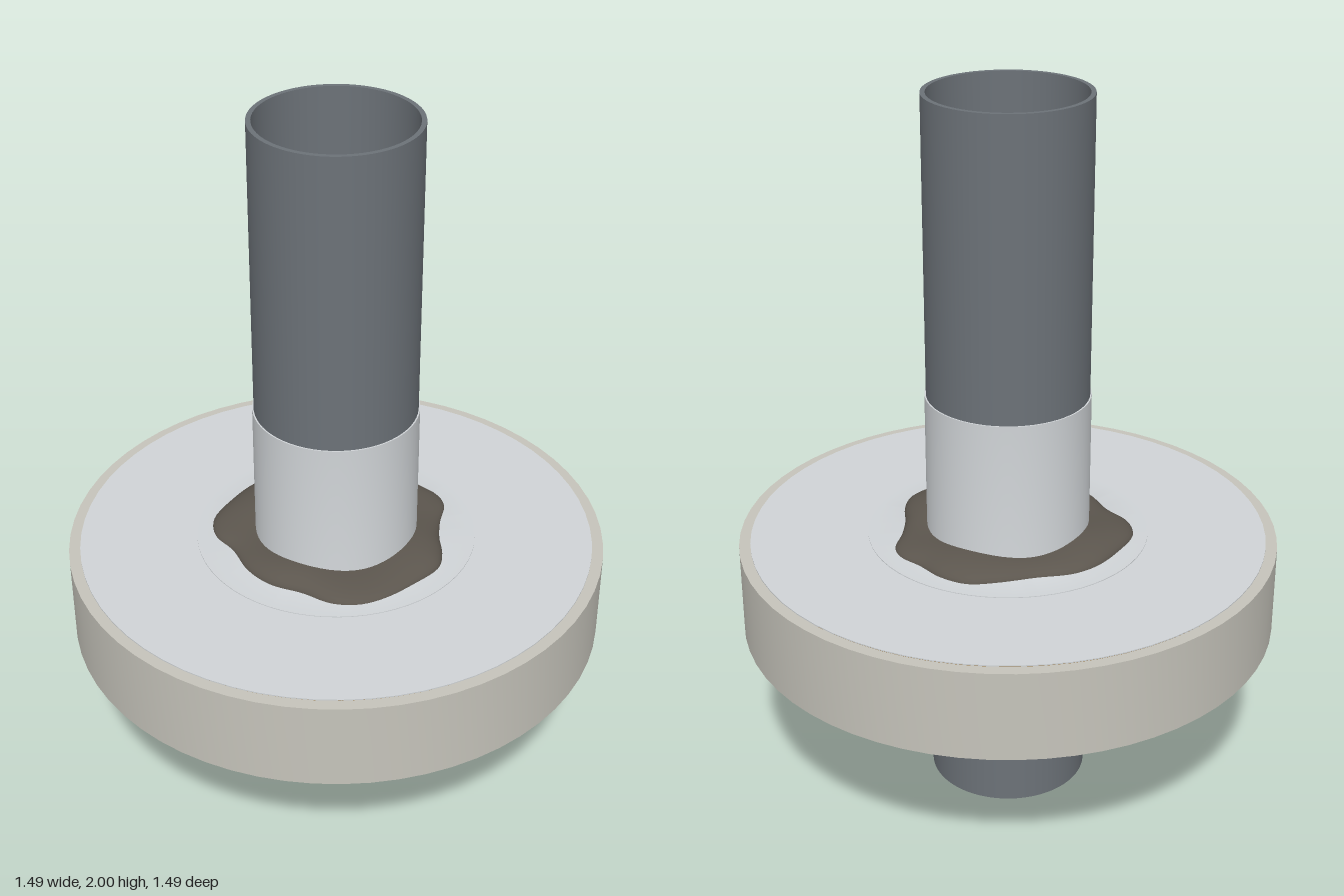
import * as THREE from 'three';
import { toCreasedNormals } from 'three/addons/utils/BufferGeometryUtils.js';

const SEGMENTS = 64;
const material = (color) => new THREE.MeshStandardMaterial({ color });

// Revolve a closed [radius, height] section; list it outer bottom, outer top, inner top, inner bottom
function revolve(name, section, mat) {
  const points = [...section, section[0]].map(([r, y]) => new THREE.Vector2(r, y));
  const geometry = toCreasedNormals(new THREE.LatheGeometry(points, SEGMENTS), 0.6);
  const mesh = new THREE.Mesh(geometry, mat);
  mesh.name = name;
  return mesh;
}

const ring = (name, inner, outer, y0, y1, mat) =>
  revolve(name, [[outer, y0], [outer, y1], [inner, y1], [inner, y0]], mat);

// Irregular bead: rounded section from a wavy outline up to the collar
function sealantGeometry() {
  const outline = new THREE.CatmullRomCurve3([
    [-0.08, -0.308], [0.02, -0.296], [0.13, -0.288], [0.205, -0.27], [0.262, -0.212],
    [0.296, -0.136], [0.332, -0.07], [0.332, -0.016], [0.292, 0.056], [0.264, 0.124],
    [0.244, 0.2], [0.212, 0.256], [0.12, 0.304], [0.024, 0.338], [-0.048, 0.342],
    [-0.116, 0.314], [-0.176, 0.248], [-0.248, 0.184], [-0.288, 0.104], [-0.302, 0.004],
    [-0.33, -0.076], [-0.314, -0.156], [-0.236, -0.234], [-0.156, -0.288],
  ].map(([x, z]) => new THREE.Vector3(x, 0, z)), true);
  const around = 128, rows = 10, inner = 0.222, base = 0.76;
  const positions = [], indices = [];
  for (let j = 0; j <= rows; j++) {
    const a = (j / rows) * Math.PI / 2;
    for (let i = 0; i < around; i++) {
      const p = outline.getPoint(i / around);
      const theta = Math.atan2(p.z, p.x);
      const r = THREE.MathUtils.lerp(inner, Math.hypot(p.x, p.z), Math.cos(a));
      const height = 0.034 - 0.006 * Math.cos(4 * theta);
      positions.push(r * Math.cos(theta), base + height * Math.sin(a), r * Math.sin(theta));
      if (j < rows) {
        const k = j * around + i, n = j * around + (i + 1) % around;
        indices.push(k, k + around, n, n, k + around, n + around);
      }
    }
  }
  const geometry = new THREE.BufferGeometry();
  geometry.setAttribute('position', new THREE.Float32BufferAttribute(positions, 3));
  geometry.setIndex(indices);
  geometry.computeVertexNormals();
  return geometry;
}

export function createModel() {
  const model = new THREE.Group();
  model.name = 'sealedPipePenetration';
  const membraneMat = material(0xd0d4d7);

  // Hollow pipe running through the slab
  model.add(ring('pipe', 0.209, 0.222, 0, 2, material(0x6c7278)));

  // Round slab with a clearance hole
  model.add(ring('slab', 0.244, 0.747, 0.505, 0.757, material(0xc6c4bb)));

  // Adhesive coat and membrane sheet on the slab
  model.add(ring('adhesive', 0.223, 0.714, 0.756, 0.759, material(0xa08050)));
  model.add(ring('membrane', 0.223, 0.716, 0.759, 0.762, membraneMat));

  // Collar wrapped around the pipe, flared into a thin flange
  model.add(revolve('collar', [
    [0.39, 0.761], [0.39, 0.764], [0.24, 0.764], [0.232, 0.768], [0.228, 0.775],
    [0.226, 0.79], [0.226, 1.177], [0.221, 1.177], [0.221, 0.761],
  ], membraneMat));

  // Sealant bead at the foot of the collar
  const sealant = new THREE.Mesh(sealantGeometry(), material(0x5c564e));
  sealant.name = 'sealantBead';
  model.add(sealant);

  return model;
}
